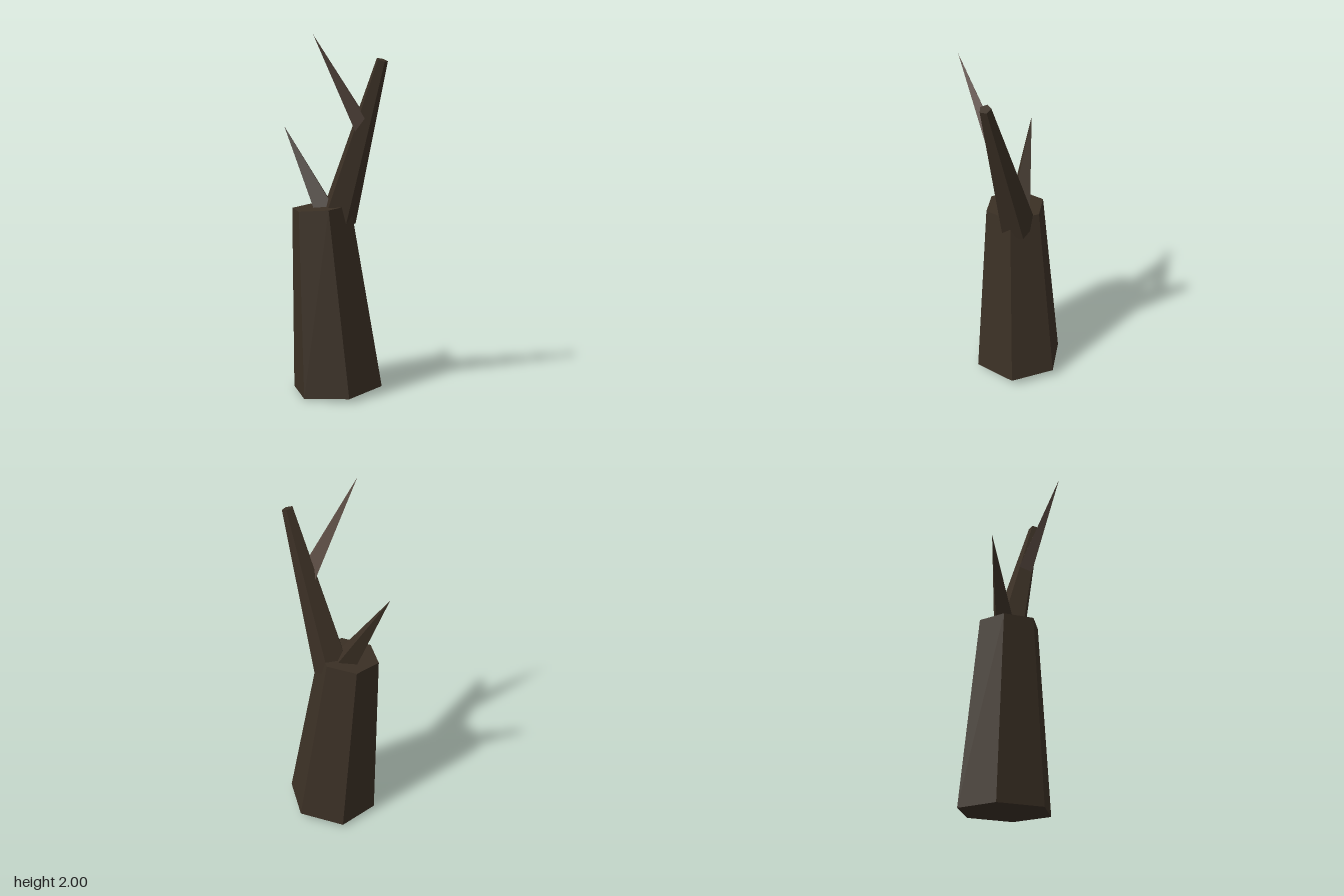
import * as THREE from 'three';

const UP = new THREE.Vector3(0, 1, 0);

// Low-poly tapered limb running from one point to another
function limb(name, material, from, to, baseRadius, tipRadius, sides) {
  const a = new THREE.Vector3(...from);
  const b = new THREE.Vector3(...to);
  const axis = b.clone().sub(a);
  const mesh = new THREE.Mesh(
    new THREE.CylinderGeometry(tipRadius, baseRadius, axis.length(), sides),
    material
  );
  mesh.name = name;
  mesh.position.copy(a).add(b).multiplyScalar(0.5);
  mesh.quaternion.setFromUnitVectors(UP, axis.normalize());
  return mesh;
}

export function createModel() {
  const bark = new THREE.MeshStandardMaterial({ color: 0x3b3025, flatShading: true });
  bark.name = 'dark bark';
  const paleWood = new THREE.MeshStandardMaterial({ color: 0x5d4d44, flatShading: true });
  paleWood.name = 'pale dead wood';

  const tree = new THREE.Group();
  tree.name = 'deadTree';
  tree.add(
    // leaning six-sided stump
    limb('trunk', bark, [-0.025, 0.023, -0.02], [-0.08, 1.06, 0.053], 0.26, 0.17, 6),
    // long branch with a blunt end
    limb('mainBranch', bark, [-0.02, 0.985, -0.015], [0.283, 1.87, -0.048], 0.105, 0.032, 5),
    // pointed broken branches
    limb('sideSpike', bark, [-0.065, 1.0, 0.016], [-0.31, 1.5, 0.12], 0.08, 0, 4),
    limb('upperSpike', paleWood, [0.157, 1.51, -0.028], [0.102, 2.0, 0.28], 0.058, 0, 4)
  );
  return tree;
}
